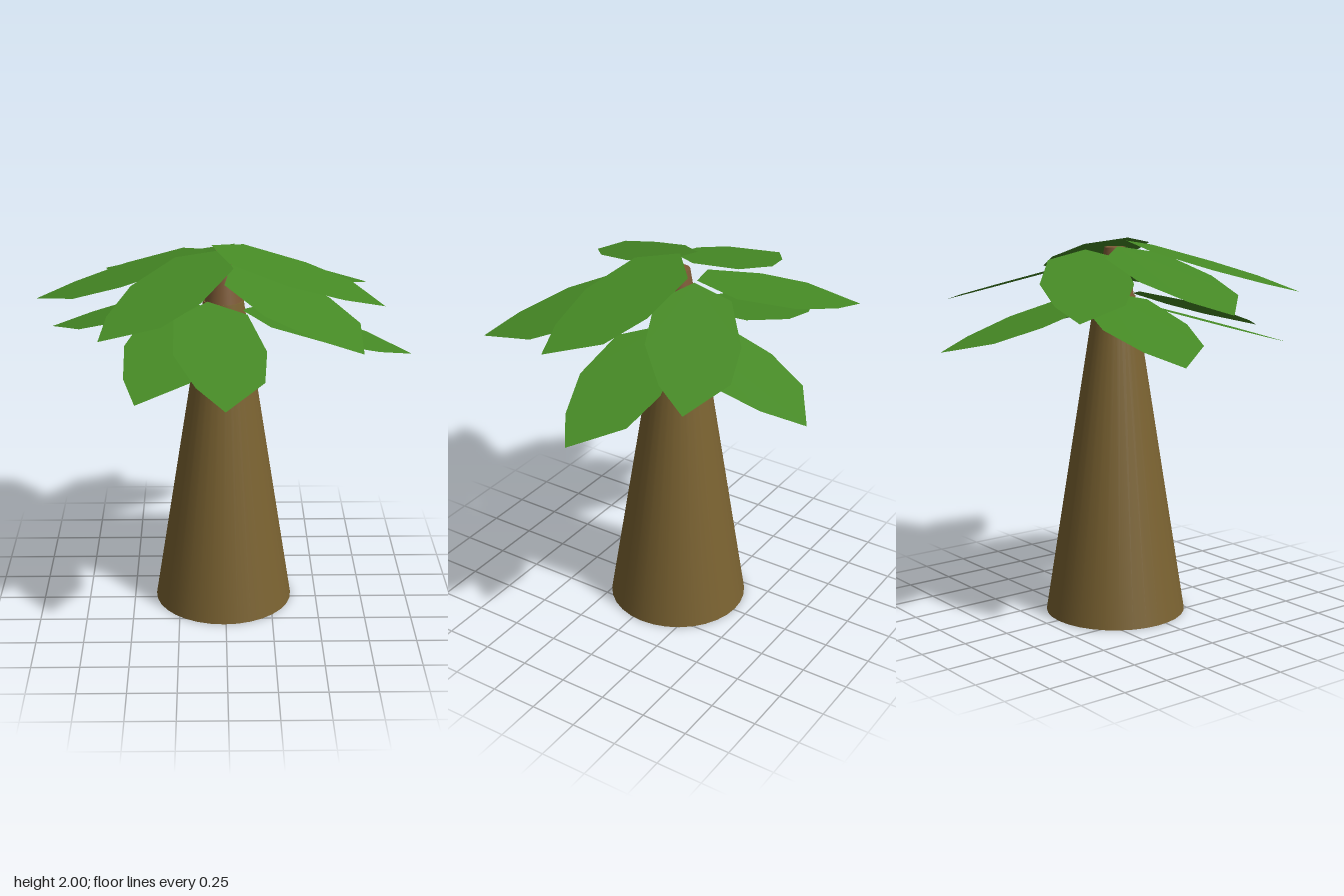
import * as THREE from 'three';

const leafGreen = new THREE.MeshStandardMaterial({ color: 0x468a25, side: THREE.DoubleSide });
leafGreen.name = 'leafGreen';
const barkBrown = new THREE.MeshStandardMaterial({ color: 0x7a6231 });
barkBrown.name = 'barkBrown';
const crownBrown = new THREE.MeshStandardMaterial({ color: 0x7d5a36 });
crownBrown.name = 'crownBrown';

// Leaf outline as [distance from stem, sideways offset], slightly lopsided
const OUTLINE = [
  [0, 0], [0.126, -0.19], [0.445, -0.25], [0.69, -0.21],
  [0.9, 0], [0.71, 0.123], [0.445, 0.21], [0.14, 0.185],
];
const LENGTH = 0.9;
const DROP = 0.26;

// Flat leaf ending at tip (x, y, z), pointing along (dx, dz) and sloping down
function makeLeaf(name, x, y, z, dx, dz) {
  const n = Math.hypot(dx, dz);
  const ux = dx / n, uz = dz / n;
  const positions = [];
  for (const [s, w] of OUTLINE) {
    const back = LENGTH - s;
    positions.push(x - back * ux - w * uz, y + DROP * back / LENGTH, z - back * uz + w * ux);
  }
  const index = [];
  for (let i = 1; i < OUTLINE.length - 1; i++) index.push(0, i + 1, i);
  const geometry = new THREE.BufferGeometry();
  geometry.setAttribute('position', new THREE.Float32BufferAttribute(positions, 3));
  geometry.setIndex(index);
  geometry.computeVertexNormals();
  const leaf = new THREE.Mesh(geometry, leafGreen);
  leaf.name = name;
  return leaf;
}

// Tapered, capped length of trunk
function makeTrunk(name, rTop, rBottom, y0, y1, material) {
  const trunk = new THREE.Mesh(new THREE.CylinderGeometry(rTop, rBottom, y1 - y0, 32), material);
  trunk.position.set(-0.01, (y0 + y1) / 2, -0.055);
  trunk.name = name;
  return trunk;
}

// Tip x, y, z and horizontal heading
const UPPER = [
  [0.80, 1.74, 0.20, 0.97, 0.245],
  [0.79, 1.64, -0.59, 0.874, -0.485],
  [-0.66, 1.68, -0.75, -0.79, -0.612],
  [-0.98, 1.70, -0.09, -1, 0],
  [-0.61, 1.72, 0.69, -0.65, 0.76],
  [0.65, 1.65, 0.68, 0.69, 0.724],
];
const LOWER = [
  [0.98, 1.40, -0.06, 1, -0.05],
  [-0.01, 1.46, 0.94, 0.09, 0.996],
  [-0.44, 1.43, 0.77, -0.29, 0.957],
  [-0.93, 1.47, -0.34, -0.98, -0.2],
  [0.26, 1.45, -0.95, 0.21, -0.977],
];

export function createModel() {
  const tree = new THREE.Group();
  tree.name = 'palmTree';
  tree.add(makeTrunk('trunk', 0.105, 0.372, 0, 1.7, barkBrown));
  tree.add(makeTrunk('trunkTop', 0.055, 0.1, 1.69, 1.95, crownBrown));
  UPPER.forEach((p, i) => tree.add(makeLeaf(`upperLeaf${i + 1}`, ...p)));
  LOWER.forEach((p, i) => tree.add(makeLeaf(`lowerLeaf${i + 1}`, ...p)));
  return tree;
}
